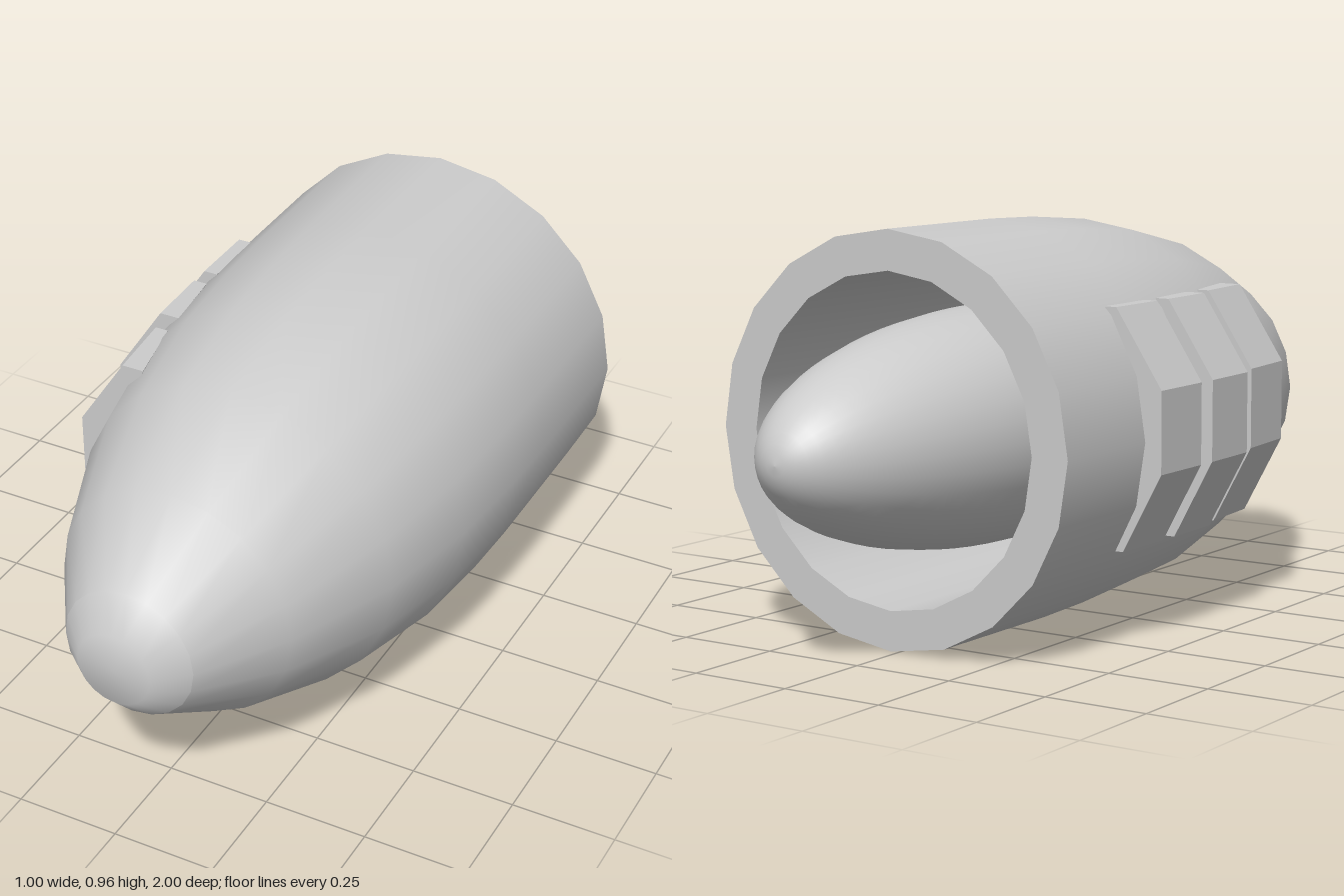
import * as THREE from 'three';

const material = new THREE.MeshStandardMaterial({ color: 0xcccccc });
const CX = 0.02, CY = 0.48; // axis of the engine

// Turned part around the z axis; profile holds [radius, z]
function turned(name, profile, sides) {
  const points = profile.map(([r, z]) => new THREE.Vector2(r, z));
  const geometry = new THREE.LatheGeometry(points, sides).rotateX(Math.PI / 2);
  const mesh = new THREE.Mesh(geometry, material);
  mesh.name = name;
  mesh.position.set(CX, CY, 0);
  return mesh;
}

// Bent plate hugging the side; the shifts move its outer and inner edges inward
function sidePlate(index, zBack, zFront, outerBack, outerFront, innerBack, innerFront) {
  const outer = [[-0.38, 0.78], [-0.5, 0.6], [-0.5, 0.41], [-0.4, 0.225]];
  const inner = [[-0.355, 0.225], [-0.43, 0.41], [-0.43, 0.6], [-0.345, 0.78]];
  const shape = new THREE.Shape([...outer, ...inner].map(([x, y]) => new THREE.Vector2(x, y)));
  const geometry = new THREE.ExtrudeGeometry(shape, { depth: 1, bevelEnabled: false });
  const pos = geometry.attributes.position;
  const isOuter = (x, y) => outer.some(([a, b]) => Math.hypot(a - x, b - y) < 1e-4);
  for (let i = 0; i < pos.count; i++) {
    const x = pos.getX(i), t = pos.getZ(i);
    const [back, front] = isOuter(x, pos.getY(i)) ? [outerBack, outerFront] : [innerBack, innerFront];
    pos.setX(i, x + THREE.MathUtils.lerp(back, front, t));
    pos.setZ(i, THREE.MathUtils.lerp(zBack, zFront, t));
  }
  geometry.computeVertexNormals();
  const mesh = new THREE.Mesh(geometry, material);
  mesh.name = `sidePlate${index}`;
  return mesh;
}

export function createModel() {
  const model = new THREE.Group();
  model.name = 'engine';

  // Hollow casing: separate pieces keep the edges between them sharp
  const R = 0.478, bore = 0.385, back = -0.6, floor = 0.15;
  model.add(
    turned('casing', [
      [R, back], [R, -0.2], [0.473, -0.03], [0.455, 0.2],
      [0.4, 0.465], [0.29, 0.735], [0.16, 0.935],
    ], 20),
    turned('noseCap', [[0.16, 0.935], [0.09, 1], [0, 1]], 20),
    turned('rearRim', [[bore, back], [R, back]], 20),
    turned('boreWall', [[bore, floor], [bore, back]], 20),
    turned('boreFloor', [[0, floor], [bore, floor]], 20),
  );

  // Elliptical exhaust cone inside the bore
  const cone = [];
  for (let i = 0; i <= 24; i++) {
    const a = (i / 24) * Math.PI * 0.65;
    cone.push([0.28 * Math.sin(a), -0.2 - 0.8 * Math.cos(a)]);
  }
  model.add(turned('exhaustCone', cone, 32));

  // Three plates along the model's right side
  model.add(
    sidePlate(1, 0.17, 0.35, 0.028, 0.045, 0.025, 0.065),
    sidePlate(2, -0.06, 0.11, 0, 0.005, 0, 0.02),
    sidePlate(3, -0.285, -0.11, 0, 0, 0, 0),
  );
  return model;
}
